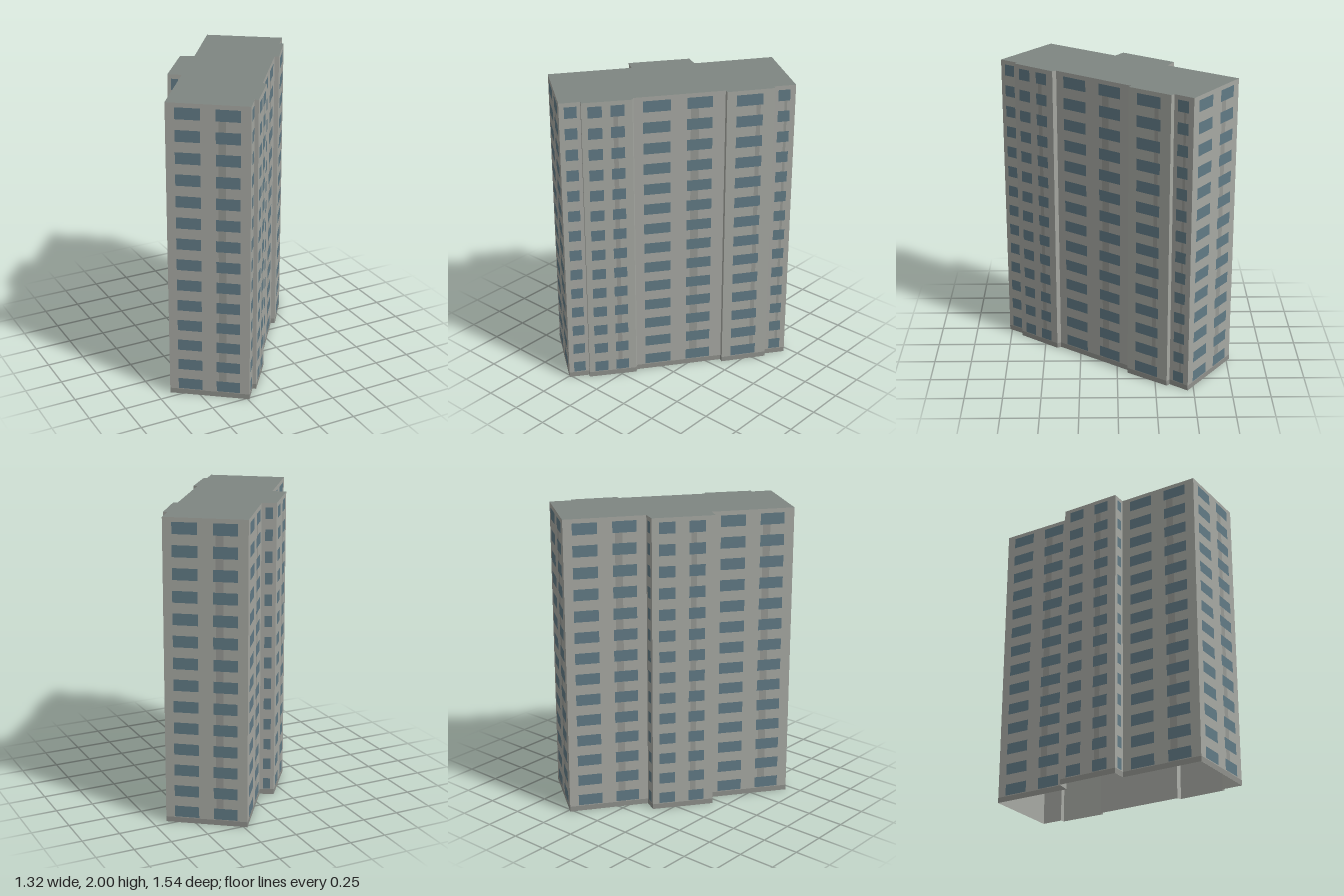
import * as THREE from 'three';
import { mergeGeometries } from 'three/addons/utils/BufferGeometryUtils.js';

const HEIGHT = 2, FLOORS = 14, STOREY = HEIGHT / FLOORS;

// Stepped footprint as [x, z] corners. Each wall runs from its corner to the next;
// windows and streak are [from, to] fractions of the wall, seen left to right from outside.
const pair = [[0.11, 0.41], [0.59, 0.88]];
const streak = [0.62, 0.71];
const WALLS = [
  { at: [0.23, -0.77], windows: pair, streak },
  { at: [0.66, -0.46], windows: [[0.2, 0.75]], streak: [0.5, 0.62] },
  { at: [0.575, -0.345] },
  { at: [0.595, -0.325], windows: [[0.2, 0.76]], streak },
  { at: [0.415, -0.07] },
  { at: [0.39, -0.085], windows: [[0.1, 0.4], [0.58, 0.86]], streak },
  { at: [0.04, 0.39] },
  { at: [0.055, 0.415], windows: [[0.12, 0.4], [0.57, 0.84]], streak },
  { at: [-0.14, 0.67] },
  { at: [-0.16, 0.655], windows: [[0.24, 0.82]] },
  { at: [-0.24, 0.765], windows: pair, streak },
  { at: [-0.66, 0.45], windows: pair, streak },
  { at: [-0.335, 0.005], windows: [[0.25, 0.75]] },
  { at: [-0.41, -0.05], windows: [[0.11, 0.37], [0.59, 0.85]], streak },
  { at: [-0.165, -0.38], windows: [[0.25, 0.75]] },
  { at: [-0.08, -0.335], windows: pair, streak },
];

// Upright rectangle facing +z
function panel(x0, x1, y0, y1, z) {
  return new THREE.PlaneGeometry(x1 - x0, y1 - y0).translate((x0 + x1) / 2, (y0 + y1) / 2, z);
}

export function createModel() {
  const model = new THREE.Group();
  model.name = 'apartmentBlock';

  const material = (color, side = THREE.FrontSide) => new THREE.MeshStandardMaterial({ color, side });
  const add = (name, geometry, mat) => {
    const mesh = new THREE.Mesh(geometry, mat);
    mesh.name = name;
    model.add(mesh);
  };

  const walls = [], plinths = [], streaks = [], windows = [];
  WALLS.forEach((wall, i) => {
    const [ax, az] = wall.at;
    const [bx, bz] = WALLS[(i + 1) % WALLS.length].at;
    const length = Math.hypot(bx - ax, bz - az);
    // Local x runs along the wall from its outside-left corner, local z points outward
    const place = new THREE.Matrix4()
      .makeRotationY(Math.atan2(bz - az, ax - bx))
      .setPosition(bx, 0, bz);
    const put = (list, x0, x1, y0, y1, z) =>
      list.push(panel(x0 * length, x1 * length, y0, y1, z).applyMatrix4(place));

    put(walls, 0, 1, 0, HEIGHT, 0);
    put(plinths, 0, 1, 0, 0.035, 0.001);
    if (wall.streak) put(streaks, ...wall.streak, 0.035, HEIGHT - 0.03, 0.001);
    for (const [from, to] of wall.windows ?? []) {
      for (let floor = 0; floor < FLOORS; floor++) {
        const y = 0.04 + floor * STOREY;
        put(windows, from, to, y, y + 0.075, 0.002);
      }
    }
  });

  // Shell open at the bottom
  add('walls', mergeGeometries(walls), material(0xa6a8a2, THREE.DoubleSide));
  add('plinth', mergeGeometries(plinths), material(0x8e908b));
  add('wallStreaks', mergeGeometries(streaks), material(0x969893));
  add('windows', mergeGeometries(windows), material(0x617a85));

  // Flat roof over the footprint
  const outline = new THREE.Shape(WALLS.map(({ at: [x, z] }) => new THREE.Vector2(x, -z)));
  const roof = new THREE.ShapeGeometry(outline).rotateX(-Math.PI / 2).translate(0, HEIGHT, 0);
  add('roof', roof, material(0x7e8682, THREE.DoubleSide));

  return model;
}
